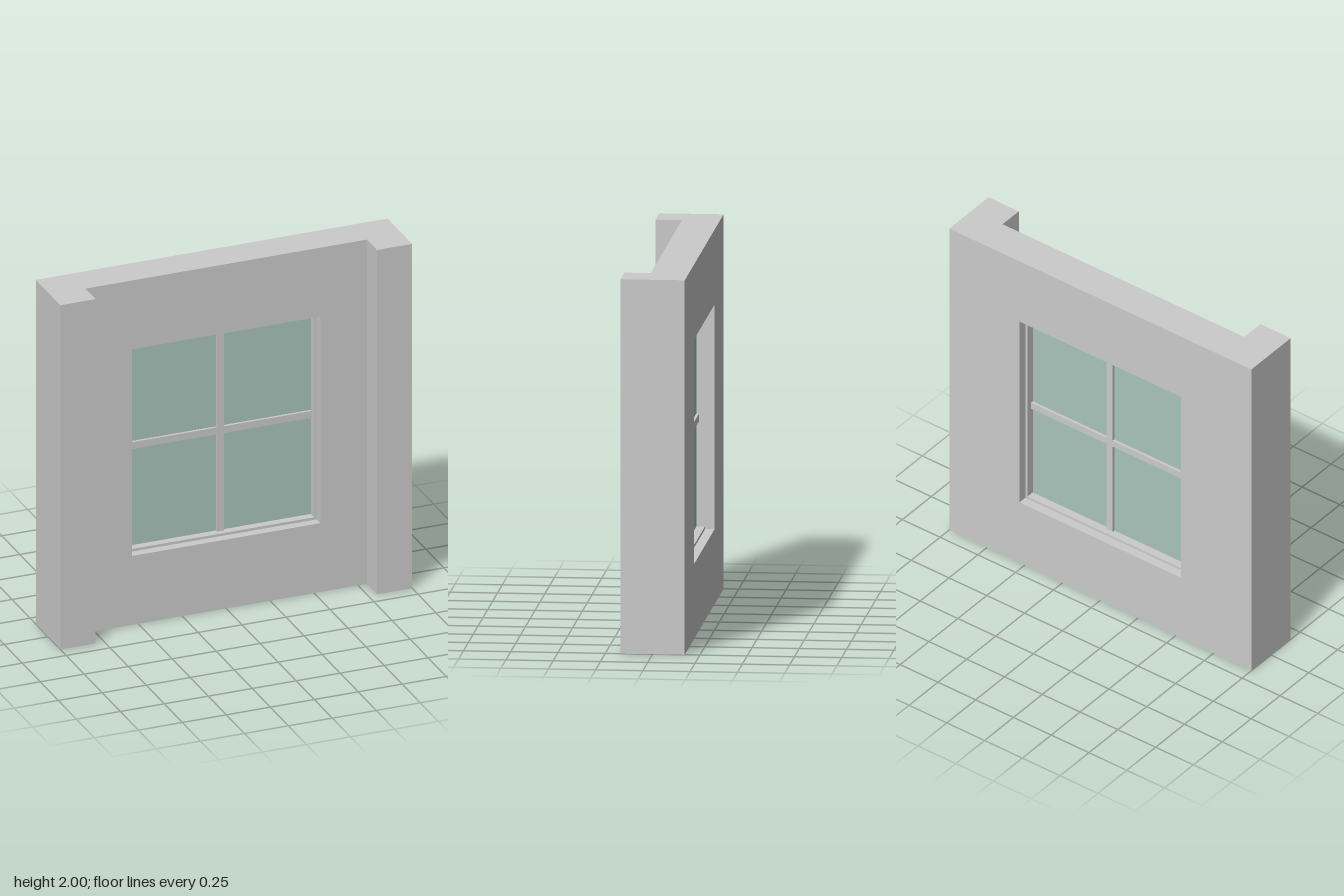
import * as THREE from 'three';

const HALF = 1, HEIGHT = 2;            // wall outline
const BACK = -0.17, FACE = 0.03, PIER = 0.17, PIER_X = 0.8; // depths and pier edge
const WX = 0.535, W0 = 0.4, W1 = 1.6;  // window opening
const MID_Y = (W0 + W1) / 2, MID_Z = (BACK + FACE) / 2;

const grey = new THREE.MeshStandardMaterial({ color: 0xcccccc, side: THREE.DoubleSide });
const glassMat = new THREE.MeshStandardMaterial({ color: 0xa8c4bb });

function rectPoints(x, y0, y1) {
  return [[-x, y0], [x, y0], [x, y1], [-x, y1]].map(p => new THREE.Vector2(...p));
}

function rectWithHole(x, y0, y1, hx, h0, h1) {
  const shape = new THREE.Shape(rectPoints(x, y0, y1));
  shape.holes.push(new THREE.Path(rectPoints(hx, h0, h1).reverse()));
  return shape;
}

function add(group, name, geometry, x = 0, y = 0, z = 0, material = grey) {
  const mesh = new THREE.Mesh(geometry, material);
  mesh.name = name;
  mesh.position.set(x, y, z);
  group.add(mesh);
  return mesh;
}

// Hollow wall shell, closed on top and open underneath
function createWall() {
  const wall = new THREE.Group();
  wall.name = 'wall';
  const pierMid = (HALF + PIER_X) / 2, pierWidth = HALF - PIER_X;

  add(wall, 'wallFront', new THREE.ShapeGeometry(rectWithHole(PIER_X, 0, HEIGHT, WX, W0, W1)), 0, 0, FACE);
  add(wall, 'wallBack', new THREE.ShapeGeometry(rectWithHole(HALF, 0, HEIGHT, WX, W0, W1)), 0, 0, BACK)
    .rotation.y = Math.PI;

  for (const s of [-1, 1]) {
    add(wall, 'pierFront', new THREE.PlaneGeometry(pierWidth, HEIGHT), s * pierMid, HEIGHT / 2, PIER);
    add(wall, 'pierInnerSide', new THREE.PlaneGeometry(PIER - FACE, HEIGHT), s * PIER_X, HEIGHT / 2, (PIER + FACE) / 2)
      .rotation.y = -s * Math.PI / 2;
    add(wall, 'outerSide', new THREE.PlaneGeometry(PIER - BACK, HEIGHT), s * HALF, HEIGHT / 2, 0)
      .rotation.y = s * Math.PI / 2;
    // Lining of the window opening
    add(wall, 'jamb', new THREE.PlaneGeometry(FACE - BACK, W1 - W0), s * WX, MID_Y, MID_Z)
      .rotation.y = -s * Math.PI / 2;
    add(wall, s < 0 ? 'sill' : 'lintel', new THREE.PlaneGeometry(2 * WX, FACE - BACK), 0, s < 0 ? W0 : W1, MID_Z)
      .rotation.x = s * Math.PI / 2;
  }

  // Top cap, drawn in plan as (x, -z)
  const plan = [
    [-HALF, PIER], [-PIER_X, PIER], [-PIER_X, FACE], [PIER_X, FACE],
    [PIER_X, PIER], [HALF, PIER], [HALF, BACK], [-HALF, BACK],
  ].map(([x, z]) => new THREE.Vector2(x, -z));
  add(wall, 'wallTop', new THREE.ShapeGeometry(new THREE.Shape(plan)), 0, HEIGHT, 0)
    .rotation.x = -Math.PI / 2;
  return wall;
}

// Frame, crossing glazing bars and glass, centred in the wall depth
function createWindow() {
  const win = new THREE.Group();
  win.name = 'window';
  const t = 0.015, depth = 0.1, bar = 0.04;
  const width = 2 * (WX - t), height = W1 - W0 - 2 * t;

  const frame = rectWithHole(WX, W0, W1, WX - t, W0 + t, W1 - t);
  add(win, 'windowFrame', new THREE.ExtrudeGeometry(frame, { depth, bevelEnabled: false }), 0, 0, MID_Z - depth / 2);
  add(win, 'verticalBar', new THREE.BoxGeometry(bar, height, bar), 0, MID_Y, MID_Z);
  add(win, 'horizontalBar', new THREE.BoxGeometry(width, bar, bar), 0, MID_Y, MID_Z);
  add(win, 'glass', new THREE.BoxGeometry(width, height, 0.01), 0, MID_Y, MID_Z, glassMat);
  return win;
}

export function createModel() {
  const model = new THREE.Group();
  model.name = 'wallWithWindow';
  model.add(createWall(), createWindow());
  return model;
}
